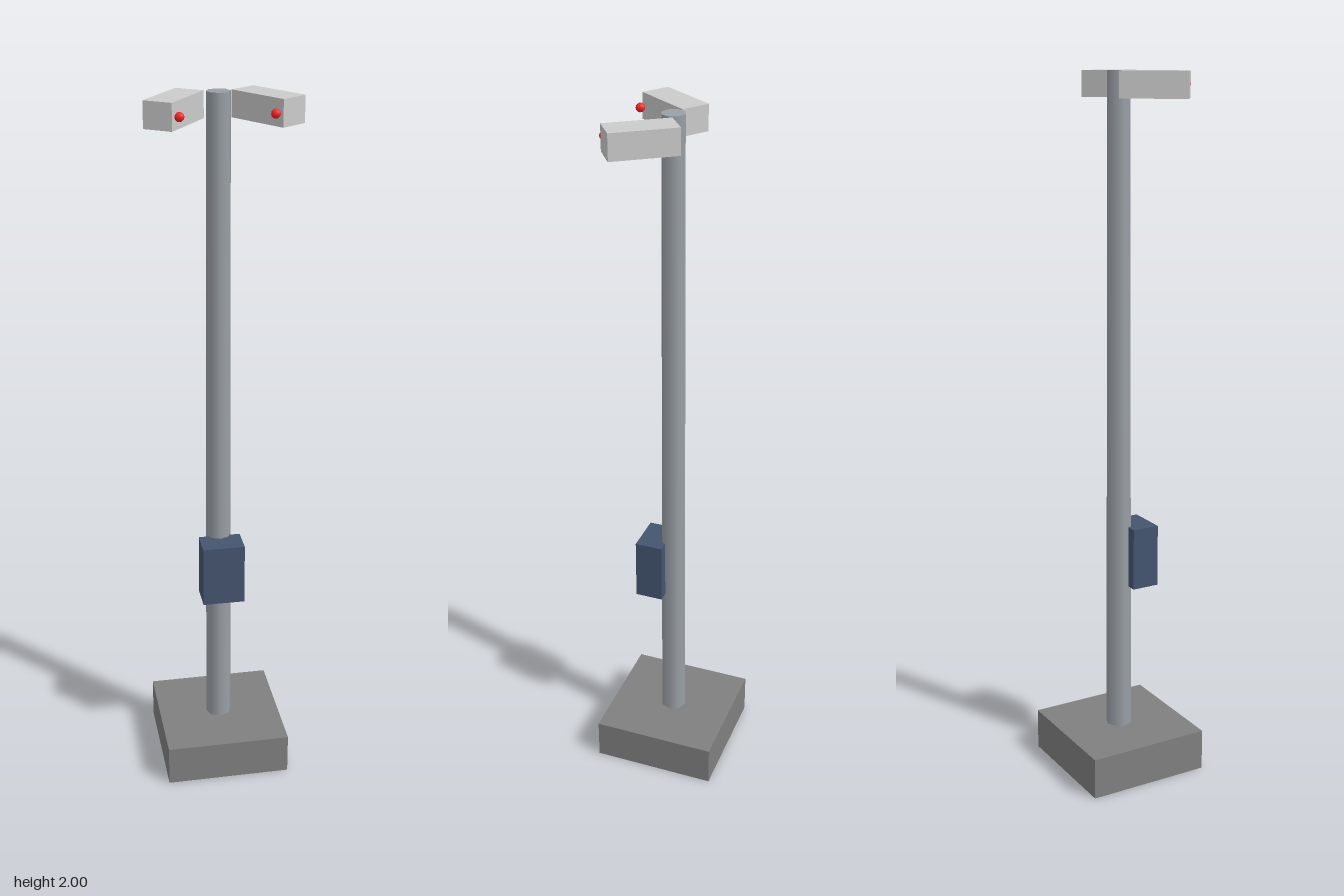
import * as THREE from 'three';

export function createModel() {
  const model = new THREE.Group();
  const material = (color) => new THREE.MeshStandardMaterial({ color });
  const concrete = material(0x808080);
  const steel = material(0x9aa0a6);
  const casing = material(0xcccccc);
  const blue = material(0x445570);
  const red = material(0xff2222);

  const add = (name, geometry, mat, x, y, z, turn = 0) => {
    const mesh = new THREE.Mesh(geometry, mat);
    mesh.name = name;
    mesh.position.set(x, y, z);
    mesh.rotation.y = turn;
    model.add(mesh);
  };

  // Square footing and tapered eight-sided pole
  add('base', new THREE.BoxGeometry(0.36, 0.12, 0.36), concrete, 0, 0.06, 0);
  add('pole', new THREE.CylinderGeometry(0.032, 0.038, 2, 8), steel, 0, 1, 0);

  // Control box on the front of the pole
  add('controlBox', new THREE.BoxGeometry(0.12, 0.18, 0.08), blue, 0, 0.645, 0.055);

  // Two cameras splayed outwards, each with a red indicator lamp
  const cameraBody = new THREE.BoxGeometry(0.08, 0.07, 0.18);
  const lamp = new THREE.SphereGeometry(0.0125, 6, 6);
  for (const [side, s] of [['left', 1], ['right', -1]]) {
    add(side + 'Camera', cameraBody, casing, s * 0.12, 1.965, 0.04, s * 0.61);
    add(side + 'Lamp', lamp, red, s * 0.12, 1.965, 0.135);
  }

  return model;
}
